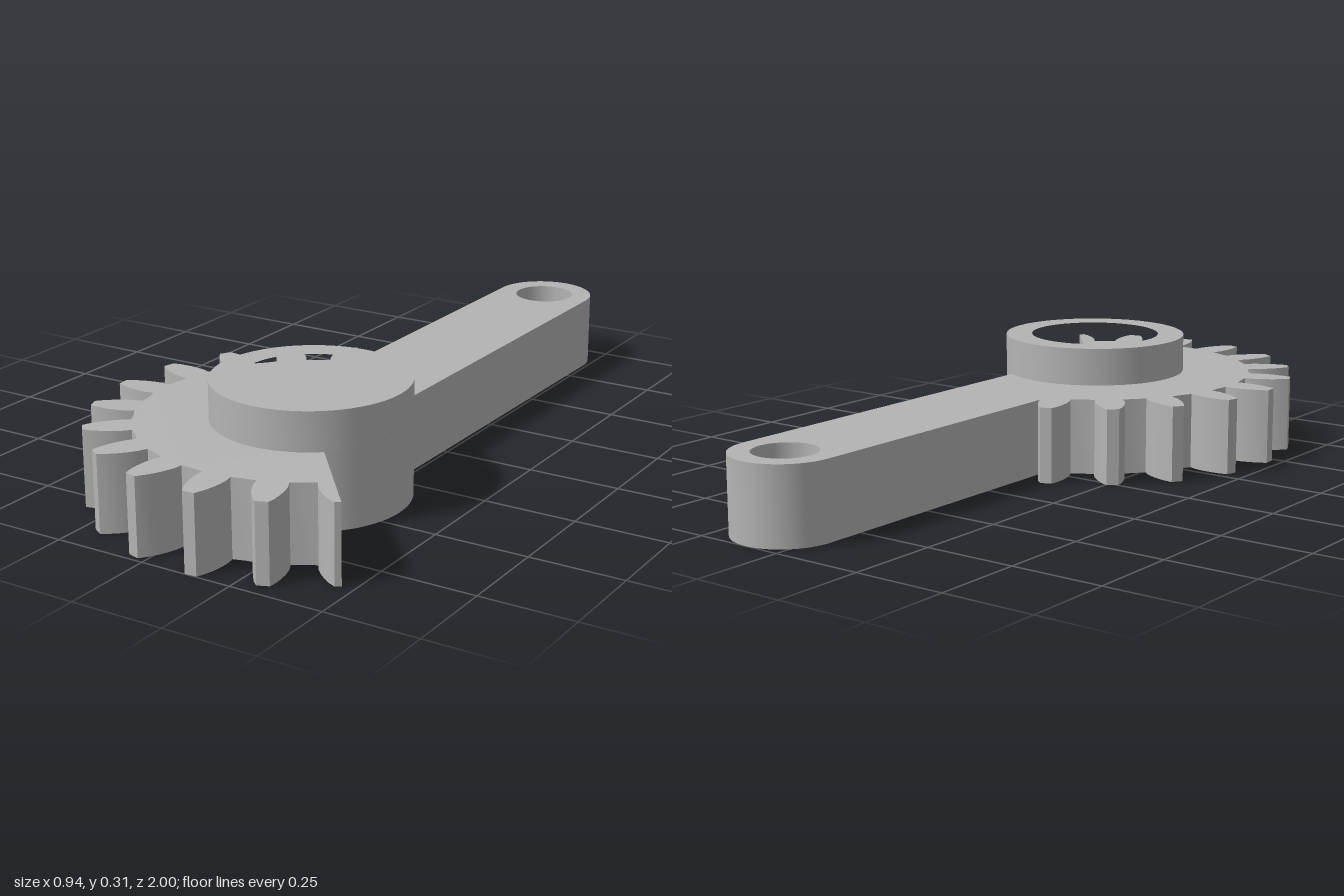
import * as THREE from 'three';
import { toCreasedNormals } from 'three/addons/utils/BufferGeometryUtils.js';

const HUB = { x: 0.1, z: 0.43, r: 0.257 };
const ARM = { x: 0.1, z: -0.86, r: 0.14 };
const BORE = 0.084, COUNTERBORE = 0.183;
const PLATE_H = 0.206, HUB_H = 0.31;

// Point at a radius and angle (degrees, from +x towards +z) around a centre; shape y is -z
const polar = (c, r, deg) => {
  const a = THREE.MathUtils.degToRad(deg);
  return new THREE.Vector2(c.x + r * Math.cos(a), -(c.z + r * Math.sin(a)));
};

function arc(c, r, from, to, steps) {
  return Array.from({ length: steps + 1 }, (_, i) => polar(c, r, from + ((to - from) * i) / steps));
}

const circle = (c, r) => new THREE.Path(arc(c, r, 0, 360, 64));

// Extrude a plan outline upwards, keeping curved walls smooth and edges sharp
function slab(outline, holes, y0, y1) {
  const shape = new THREE.Shape(outline);
  shape.holes = holes;
  const geo = new THREE.ExtrudeGeometry(shape, { depth: y1 - y0, bevelEnabled: false });
  geo.rotateX(-Math.PI / 2).translate(0, y0, 0);
  return toCreasedNormals(geo, 0.35);
}

// Tooth flank: radius and half width, root to tip
const FLANK = [[0.45, 0.038], [0.475, 0.041], [0.5, 0.039], [0.525, 0.034], [0.55, 0.026], [0.57, 0.016]];
const flank = (centre, side) =>
  FLANK.map(([r, w]) => polar(HUB, r, centre + side * THREE.MathUtils.radToDeg(w / r)));

function leverOutline() {
  const pts = arc(ARM, ARM.r, 0, -180, 32);
  pts.push(new THREE.Vector2(ARM.x - ARM.r, 0.02));
  // Eleven whole teeth, then one cut in half by the end of the sector
  for (let a = 248; a >= 50; a -= 18) {
    pts.push(...flank(a, 1));
    if (a === 50) {
      pts.push(polar(HUB, 0.57, a));
    } else {
      pts.push(...flank(a, -1).reverse());
      pts.push(polar(HUB, 0.447, a - 9));
    }
  }
  // Bare side of the hub, up to the arm
  const meet = -THREE.MathUtils.radToDeg(Math.acos(ARM.r / HUB.r));
  pts.push(...arc(HUB, HUB.r, 50, meet, 32));
  return pts;
}

export function createModel() {
  const model = new THREE.Group();
  model.name = 'sectorGearLever';
  const grey = new THREE.MeshStandardMaterial({ color: 0xb4b4b4 });
  grey.name = 'plain grey';

  const add = (name, geo) => {
    const mesh = new THREE.Mesh(geo, grey);
    mesh.name = name;
    model.add(mesh);
  };

  // Toothed sector and arm in one plate, with the shaft and pin holes
  add('gearSectorAndArm', slab(leverOutline(), [circle(HUB, BORE), circle(ARM, BORE)], 0, PLATE_H));

  // Raised collar around the shaft hole
  add('hubCollar', slab(arc(HUB, HUB.r, 0, 360, 96), [circle(HUB, COUNTERBORE)], PLATE_H, HUB_H));

  return model;
}
